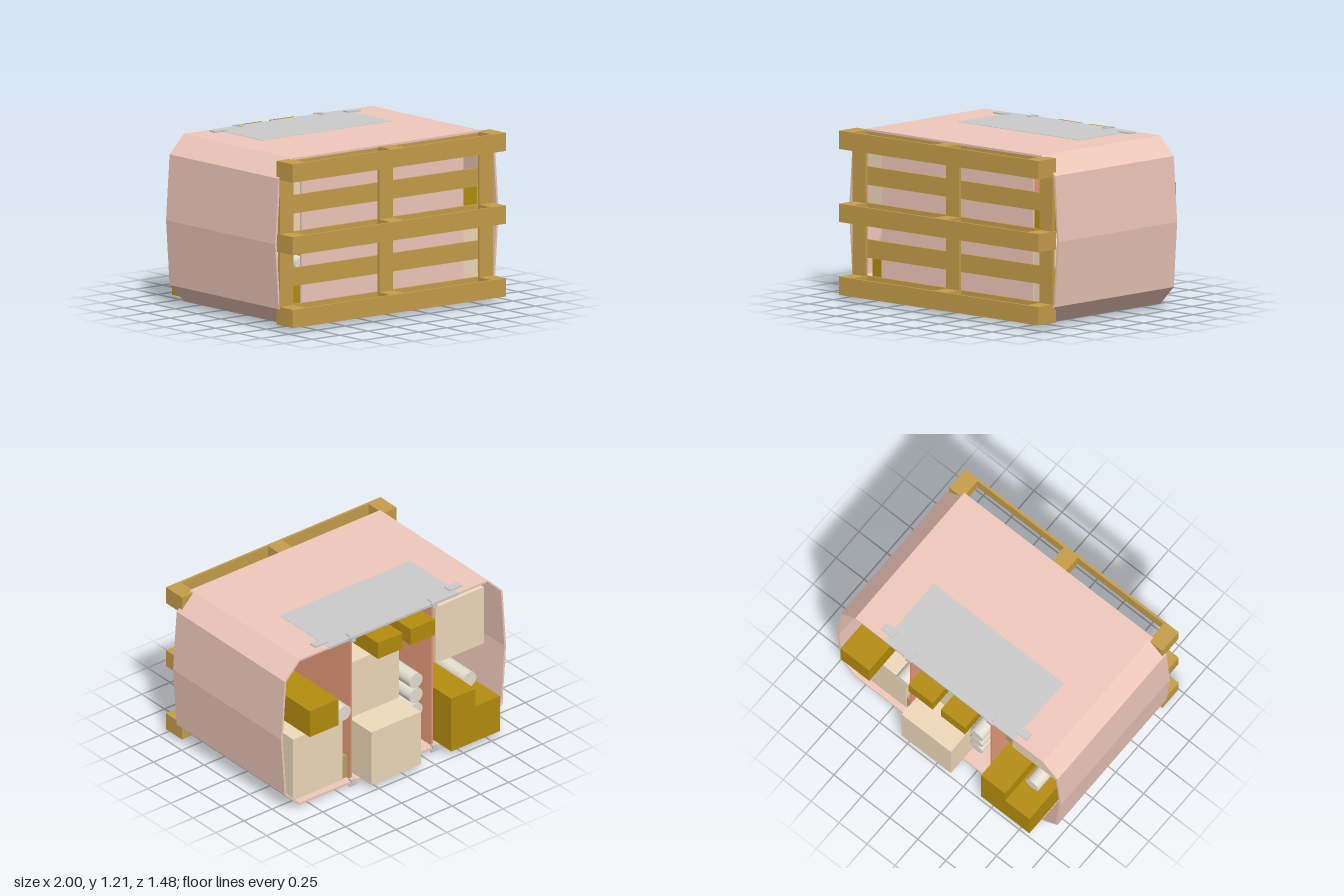
import * as THREE from 'three';

const mat = (color) => new THREE.MeshStandardMaterial({ color, flatShading: true });

export function createModel() {
  const model = new THREE.Group();
  const pink = mat(0xf0c8bb), wood = mat(0xc69e4a), gold = mat(0xb58d0e), beige = mat(0xf0dabb);
  const orange = mat(0xe89a78), khaki = mat(0xb5a565), grey = mat(0xcccccc), pale = mat(0xe6dfd2);
  pale.flatShading = false;

  const add = (name, geo, material, parent = model) => {
    const m = new THREE.Mesh(geo, material);
    m.name = name;
    parent.add(m);
    return m;
  };
  // box given by its limits on each axis
  const box = (name, material, [x0, x1], [y0, y1], [z0, z1], parent) => {
    const m = add(name, new THREE.BoxGeometry(x1 - x0, y1 - y0, z1 - z0), material, parent);
    m.position.set((x0 + x1) / 2, (y0 + y1) / 2, (z0 + z1) / 2);
    return m;
  };
  const group = (name) => {
    const g = new THREE.Group();
    g.name = name;
    model.add(g);
    return g;
  };

  // open shell with chamfered corners and slightly bulged sides
  const outline = (t) => {
    const half = [[0.84 - t * 0.4, 0.02 + t], [0.968 - t, 0.15 + t * 0.4], [1 - t, 0.61],
      [0.968 - t, 1.07 - t * 0.4], [0.84 - t * 0.4, 1.2 - t]];
    const all = [...half, ...half.map(([x, y]) => [-x, y]).reverse()];
    return all.map(([x, y]) => new THREE.Vector2(x, y));
  };
  const section = new THREE.Shape(outline(0));
  section.holes.push(new THREE.Path(outline(0.015)));
  const shellGeo = new THREE.ExtrudeGeometry(section, { depth: 1.195, bevelEnabled: false });
  shellGeo.translate(0, 0, -0.6);
  add('shell', shellGeo, pink);

  // front wall, inner partitions and roof plate
  box('frontWall', pink, [-0.73, 0.72], [0.03, 1.19], [0.54, 0.555]);
  for (const x of [-0.36, 0.36]) box('partition', orange, [x - 0.008, x + 0.008], [0.03, 1.19], [-0.58, 0.54]);
  box('roofPlate', grey, [-0.58, 0.58], [1.183, 1.202], [-0.602, -0.06]);

  // roof tabs and the clips that hold the partitions
  const fittings = group('fittings');
  for (const s of [-1, 1]) {
    box('roofTab', grey, [s * 0.597 - 0.055, s * 0.597 + 0.055], [1.198, 1.21], [-0.55, -0.49], fittings);
    for (const [y0, y1] of [[1.198, 1.21], [0, 0.022]]) {
      const x = s * 0.363;
      box('clipPlate', grey, [x - 0.035, x + 0.035], [y0, y1], [-0.61, -0.595], fittings);
      box('clipTongue', grey, [x - 0.017, x + 0.017], [y0, y1], [-0.597, -0.54], fittings);
      const hook = y0 > 1 ? [1.165, 1.205] : [0.01, 0.05];
      box('clipHook', grey, [x - 0.02, x + 0.02], hook, [-0.61, -0.58], fittings);
    }
  }

  // upright pallet: outer rails, spacer blocks, uprights, inner slats
  const pallet = group('pallet');
  const columns = [[-0.96, -0.838], [-0.07, 0.053], [0.825, 0.947]];
  for (let i = 0; i < 5; i++) {
    const y0 = 0.037 + i * 0.2563, ys = [y0, y0 + 0.128];
    box('palletSlat', wood, [-0.96, 0.947], ys, [0.562, 0.58], pallet);
    if (i % 2) continue;
    box('palletRail', wood, [-0.96, 0.947], ys, [0.722, 0.74], pallet);
    for (const xs of columns) box('palletBlock', wood, xs, ys, [0.6, 0.722], pallet);
  }
  for (const xs of columns) box('palletUpright', wood, xs, [0.037, 1.19], [0.58, 0.6], pallet);

  // cargo boxes
  const cargo = group('cargo');
  const front = 0.535;
  const boxes = [
    ['upperBox', gold, [0.6, 0.857], [0.645, 0.855], -0.74],
    ['sideBox', beige, [0.42, 0.86], [0.045, 0.54], -0.56],
    ['topBox', gold, [-0.257, -0.04], [1.047, 1.175], -0.74],
    ['topBox', gold, [0.033, 0.25], [1.047, 1.175], -0.74],
    ['centreBox', beige, [-0.13, 0.31], [0.474, 0.92], -0.5],
    ['lowerCentreBox', beige, [-0.13, 0.31], [0.045, 0.472], -0.74],
    ['sideBox', beige, [-0.9, -0.47], [0.61, 1.065], -0.48],
    ['fillerBox', khaki, [-0.465, -0.385], [0.56, 0.95], -0.45],
    ['fillerBox', khaki, [0.375, 0.418], [0.045, 0.22], -0.55],
  ];
  for (const [name, m, xs, ys, z] of boxes) box(name, m, xs, ys, [z, front], cargo);

  // stepped box
  const step = new THREE.Shape([[-0.832, 0.045], [-0.4, 0.045], [-0.4, 0.472], [-0.615, 0.472],
    [-0.615, 0.33], [-0.832, 0.33]].map(([x, y]) => new THREE.Vector2(x, y)));
  const stepGeo = new THREE.ExtrudeGeometry(step, { depth: front + 0.74, bevelEnabled: false });
  stepGeo.translate(0, 0, -0.74);
  add('steppedBox', stepGeo, gold, cargo);

  // rolls lying lengthwise
  const rolls = [[0.43, 0.603, -0.59], [-0.71, 0.425, -0.56],
    [-0.22, 0.61, -0.575], [-0.22, 0.49, -0.575], [-0.22, 0.37, -0.575]];
  for (const [x, y, z] of rolls) {
    const len = front - z;
    const roll = add('roll', new THREE.CylinderGeometry(0.058, 0.058, len, 28), pale, cargo);
    roll.rotation.x = Math.PI / 2;
    roll.position.set(x, y, z + len / 2);
  }
  return model;
}
